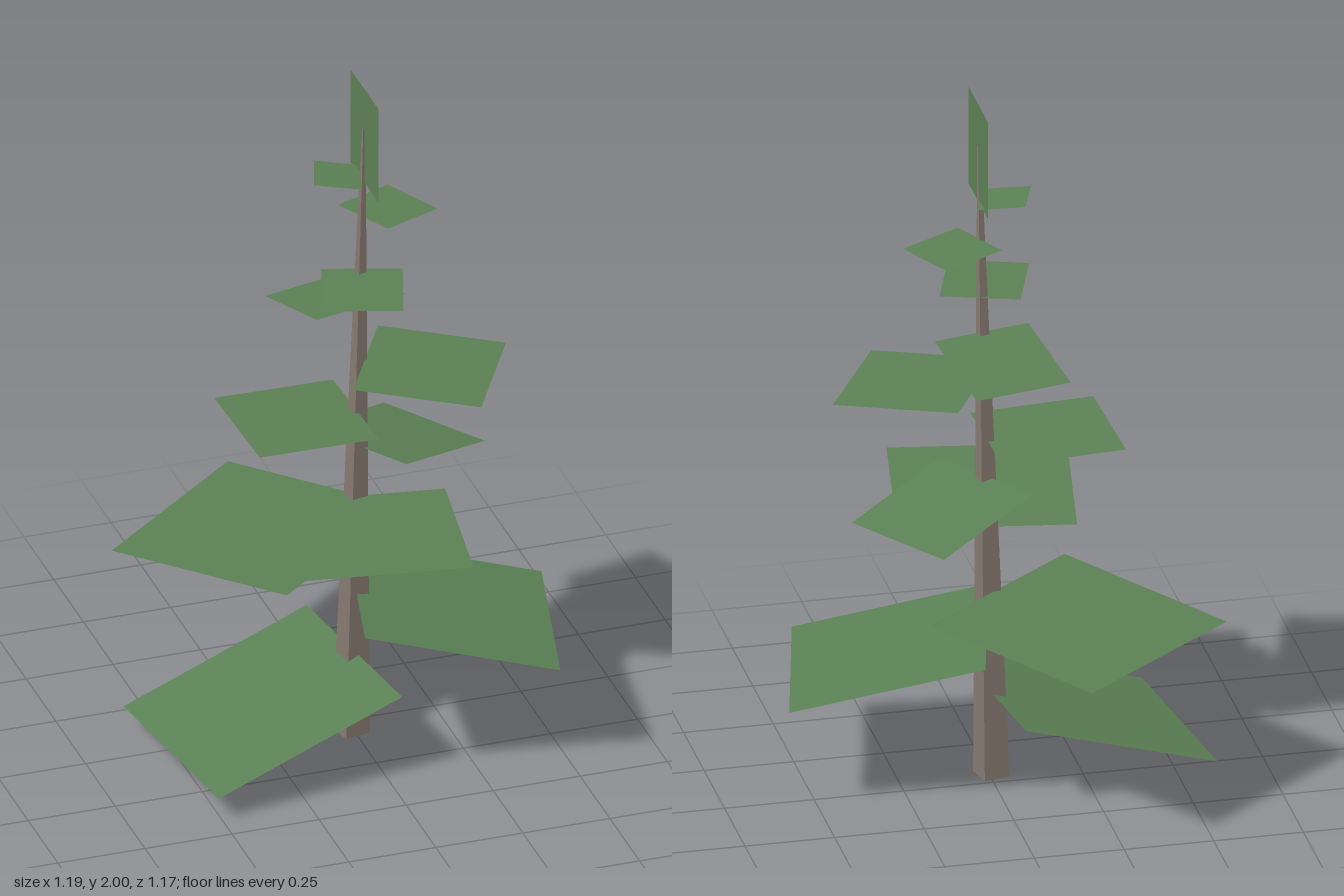
import * as THREE from 'three';

// Each bough card: inner corner, second inner corner, outer corner beside the first.
const BOUGHS = [
  [[-0.04, 0.25, -0.22], [0.04, 0.25, 0.35], [-0.59, 0.07, -0.15]],
  [[-0.06, 0.44, 0.33], [0.07, 0.44, -0.21], [0.46, 0.31, 0.45]],
  [[0.21, 0.555, -0.14], [-0.25, 0.555, 0.23], [-0.14, 0.52, -0.59]],
  [[-0.24, 0.735, 0.03], [0.245, 0.735, 0.11], [-0.32, 0.755, 0.505]],
  [[0.10, 0.89, 0.21], [-0.09, 0.89, -0.08], [0.39, 0.81, 0.02]],
  [[0, 1.0, -0.115], [0.01, 1.0, 0.24], [-0.345, 1.01, -0.105]],
  [[-0.06, 1.16, 0.23], [0.12, 1.16, -0.09], [0.25, 1.14, 0.40]],
  [[0.155, 1.32, 0.04], [-0.12, 1.32, 0.10], [0.10, 1.26, -0.235]],
  [[-0.08, 1.43, 0.02], [0.13, 1.43, 0.09], [-0.155, 1.43, 0.245]],
  [[0.065, 1.6, 0.155], [-0.02, 1.6, -0.015], [0.235, 1.59, 0.075]],
  [[0.045, 1.72, 0], [0, 1.72, 0.13], [-0.08, 1.735, -0.04]],
];
// Upright card at the tip of the tree
const CROWN = [[0.025, 1.71, 0.195], [0.025, 2, 0.195], [0.025, 1.71, -0.04]];

// Flat rectangular card spanned by three corners
function card(name, corners, material) {
  const [a, b, c] = corners.map((p) => new THREE.Vector3(...p));
  const d = b.clone().add(c).sub(a);
  const geometry = new THREE.PlaneGeometry(1, 1);
  [a, b, c, d].forEach((p, i) => geometry.attributes.position.setXYZ(i, p.x, p.y, p.z));
  geometry.computeVertexNormals();
  const mesh = new THREE.Mesh(geometry, material);
  mesh.name = name;
  return mesh;
}

export function createModel() {
  const needles = new THREE.MeshStandardMaterial({ color: 0x5b8054, side: THREE.DoubleSide });
  needles.name = 'needle green';
  const bark = new THREE.MeshStandardMaterial({ color: 0x85796f, side: THREE.DoubleSide, flatShading: true });
  bark.name = 'bark brown';

  const tree = new THREE.Group();
  tree.name = 'tree';

  // Four-sided tapering trunk, leaning slightly to its left
  const height = 1.88;
  const trunkGeometry = new THREE.CylinderGeometry(0.005, 0.053, height, 4, 1, true);
  trunkGeometry.rotateY(-0.57).translate(0, height / 2, 0);
  const pos = trunkGeometry.attributes.position;
  for (let i = 0; i < pos.count; i++) {
    const t = pos.getY(i) / height;
    pos.setX(i, pos.getX(i) - 0.007 + 0.031 * t);
    pos.setZ(i, pos.getZ(i) + 0.056 + 0.017 * t);
  }
  trunkGeometry.computeVertexNormals();
  const trunk = new THREE.Mesh(trunkGeometry, bark);
  trunk.name = 'trunk';
  tree.add(trunk);

  // Boughs spiralling up the trunk
  const boughs = new THREE.Group();
  boughs.name = 'boughs';
  BOUGHS.forEach((corners, i) => boughs.add(card(`bough${i + 1}`, corners, needles)));
  tree.add(boughs, card('crown', CROWN, needles));
  return tree;
}
